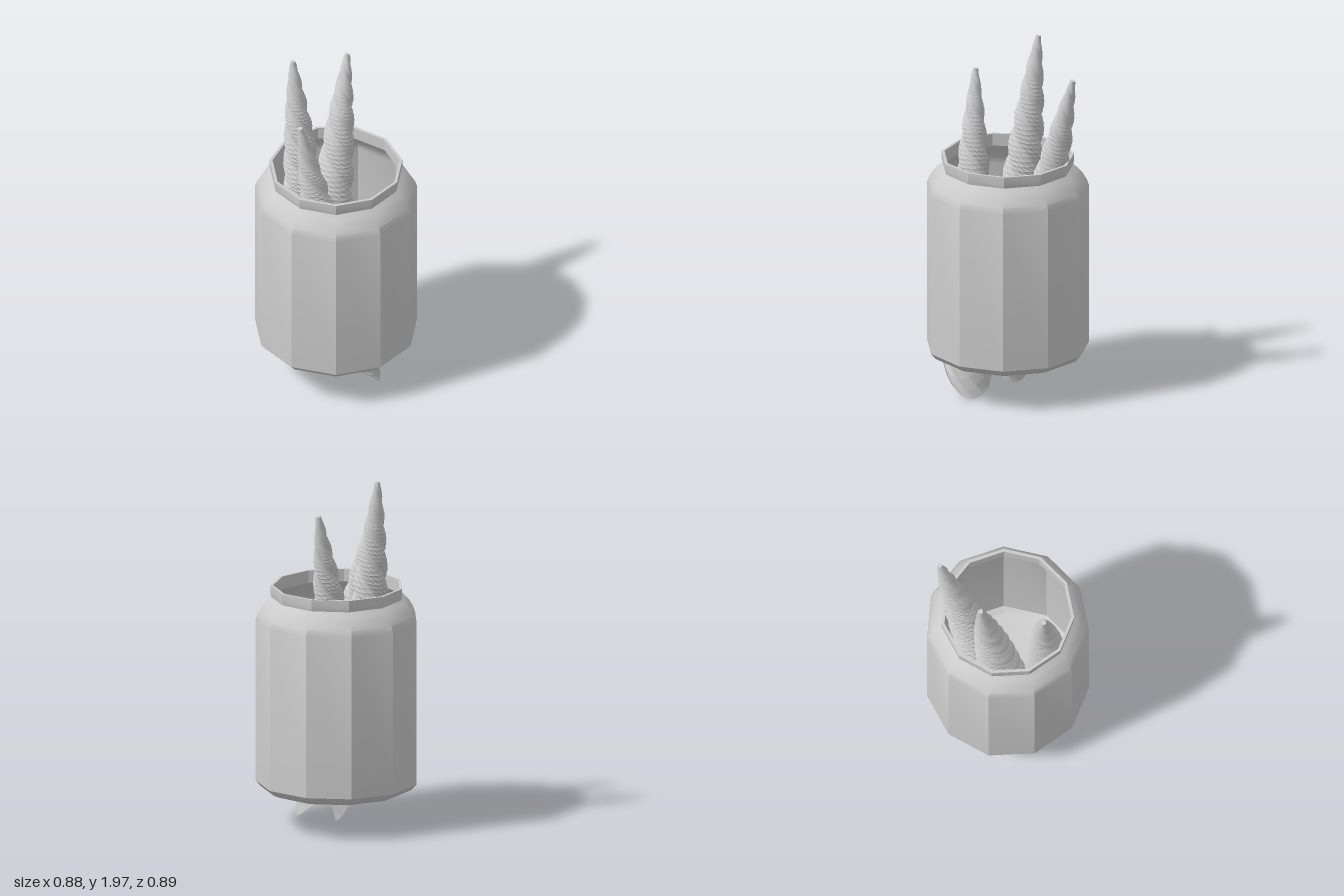
import * as THREE from 'three';
import { toCreasedNormals } from 'three/addons/utils/BufferGeometryUtils.js';

const CREASE = Math.PI / 6;
const material = new THREE.MeshStandardMaterial({ color: 0xcccccc });

// Eleven-sided open jar: one closed profile, up the outside and down the inside
function createJar() {
  const profile = [
    [0, 0.23], [0.38, 0.23], [0.42, 0.247], [0.449, 0.28], [0.449, 1.19],
    [0.437, 1.225], [0.415, 1.262], [0.388, 1.293], [0.362, 1.315],
    [0.367, 1.335], [0.367, 1.38], [0.351, 1.38], [0.351, 1.31],
    [0.372, 1.285], [0.402, 1.25], [0.422, 1.215], [0.432, 1.18],
    [0.432, 0.29], [0.405, 0.262], [0.37, 0.25], [0, 0.25],
  ].map(([r, y]) => new THREE.Vector2(r, y));
  const geometry = new THREE.LatheGeometry(profile, 11);
  geometry.rotateY(Math.PI / 2);
  const jar = new THREE.Mesh(toCreasedNormals(geometry, CREASE), material);
  jar.name = 'jar';
  jar.position.x = -0.009;
  return jar;
}

// Tapered three-strand horn hanging down from its tip at the origin;
// one side of the root runs on into a pointed tail
function createHornGeometry(bodyLength, tail) {
  const strands = 3, sides = 18, rings = 64, tailAngle = 0.35;
  const radius = (d) => 0.015 + 0.135 * (1 - Math.exp(-d / 0.65));
  const twist = (d) => -14 * Math.pow(d, 0.8);
  const endTwist = twist(bodyLength);
  const positions = [0, 0, 0];
  const index = [];

  for (let i = 0; i <= rings; i++) {
    const t = Math.pow(i / rings, 1.25);
    for (let j = 0; j < sides; j++) {
      const a = (j / sides) * Math.PI * 2;
      const reach = Math.max(0, Math.cos(a + endTwist - tailAngle));
      const d = t * bodyLength + Math.pow(t, 6) * tail * reach;
      const lobe = 0.79 + 0.21 * Math.abs(Math.sin((a * strands) / 2));
      const r = radius(d) * lobe;
      const w = a + twist(t * bodyLength);
      positions.push(r * Math.cos(w), -d, r * Math.sin(w));
    }
  }
  const root = positions.length / 3;
  positions.push(0, -bodyLength, 0);

  const at = (i, j) => 1 + i * sides + (j % sides);
  for (let j = 0; j < sides; j++) {
    index.push(0, at(0, j + 1), at(0, j));
    for (let i = 0; i < rings; i++) {
      index.push(at(i, j), at(i, j + 1), at(i + 1, j));
      index.push(at(i, j + 1), at(i + 1, j + 1), at(i + 1, j));
    }
    index.push(root, at(rings, j), at(rings, j + 1));
  }
  const geometry = new THREE.BufferGeometry();
  geometry.setAttribute('position', new THREE.Float32BufferAttribute(positions, 3));
  geometry.setIndex(index);
  return toCreasedNormals(geometry, CREASE);
}

// Places a horn with its tip at one point, leaning away from its root
function createHorn(name, tip, root, tail) {
  const top = new THREE.Vector3(...tip);
  const direction = top.clone().sub(new THREE.Vector3(...root)).normalize();
  const horn = new THREE.Mesh(createHornGeometry(1.6, tail), material);
  horn.name = name;
  horn.position.copy(top);
  horn.quaternion.setFromUnitVectors(new THREE.Vector3(0, 1, 0), direction);
  return horn;
}

export function createModel() {
  const model = new THREE.Group();
  model.name = 'jarOfTwistedHorns';
  model.add(
    createJar(),
    createHorn('rightHorn', [-0.3, 1.8, 0.035], [-0.06, 0.15, 0.22], 0.22),
    createHorn('middleHorn', [-0.105, 2, -0.25], [-0.12, 0.25, -0.04], 0.14),
    createHorn('leftHorn', [0.285, 1.86, -0.245], [-0.08, 0.2, -0.06], 0.24),
  );
  return model;
}
